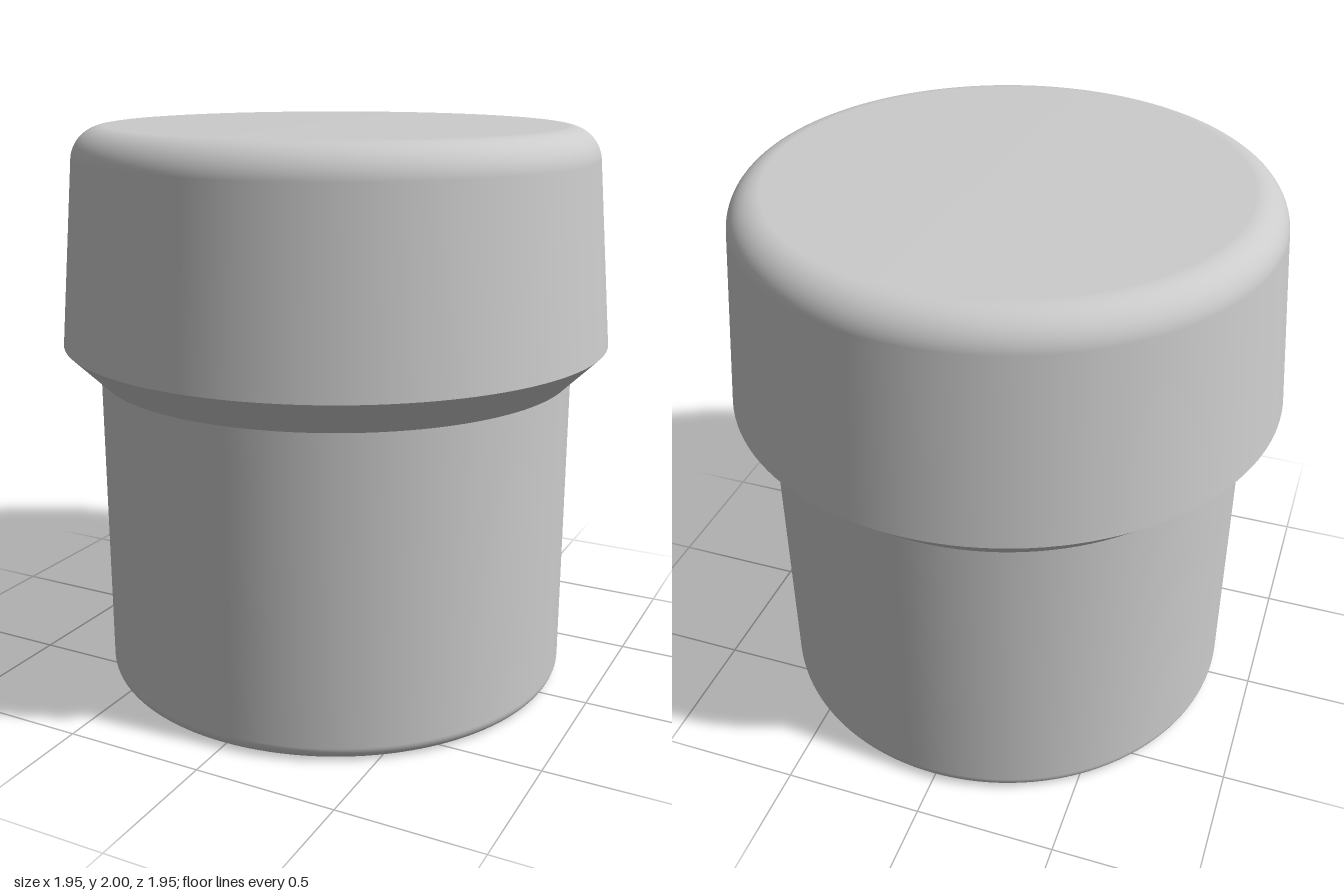
import * as THREE from 'three';

const SEGMENTS = 128;
const material = new THREE.MeshStandardMaterial({ color: 0xcccccc });

// Points along a rounded edge, angles in degrees
function fillet(cx, cy, r, from, to, steps = 14) {
  return Array.from({ length: steps + 1 }, (_, i) => {
    const a = THREE.MathUtils.degToRad(from + ((to - from) * i) / steps);
    return [cx + r * Math.cos(a), cy + r * Math.sin(a)];
  });
}

// Profile runs from bottom to top as [radius, height] pairs
function turned(name, profile) {
  const points = profile.map(([x, y]) => new THREE.Vector2(x, y));
  const mesh = new THREE.Mesh(new THREE.LatheGeometry(points, SEGMENTS), material);
  mesh.name = name;
  return mesh;
}

export function createModel() {
  const group = new THREE.Group();
  group.name = 'stopper';

  const bodyRadius = 0.848, bodyTop = 1.127;
  const rimRadius = 0.973, rimHeight = 1.25;
  const taper = 5; // degrees of inward lean on the head
  const edge = 0.12, edgeY = 2 - edge;
  const lean = THREE.MathUtils.degToRad(taper);
  const edgeX = rimRadius - Math.tan(lean) * (edgeY - rimHeight) - edge / Math.cos(lean);

  group.add(
    // Straight lower cylinder with a small rounded foot
    turned('body', [[0, 0], ...fillet(bodyRadius - 0.05, 0.05, 0.05, -90, 0), [bodyRadius, bodyTop]]),
    // Sloping underside of the overhanging head
    turned('shoulder', [[bodyRadius, bodyTop], [rimRadius, rimHeight]]),
    // Tapered head with a rounded top edge
    turned('head', [[rimRadius, rimHeight], ...fillet(edgeX, edgeY, edge, taper, 90), [0, 2]])
  );
  return group;
}
